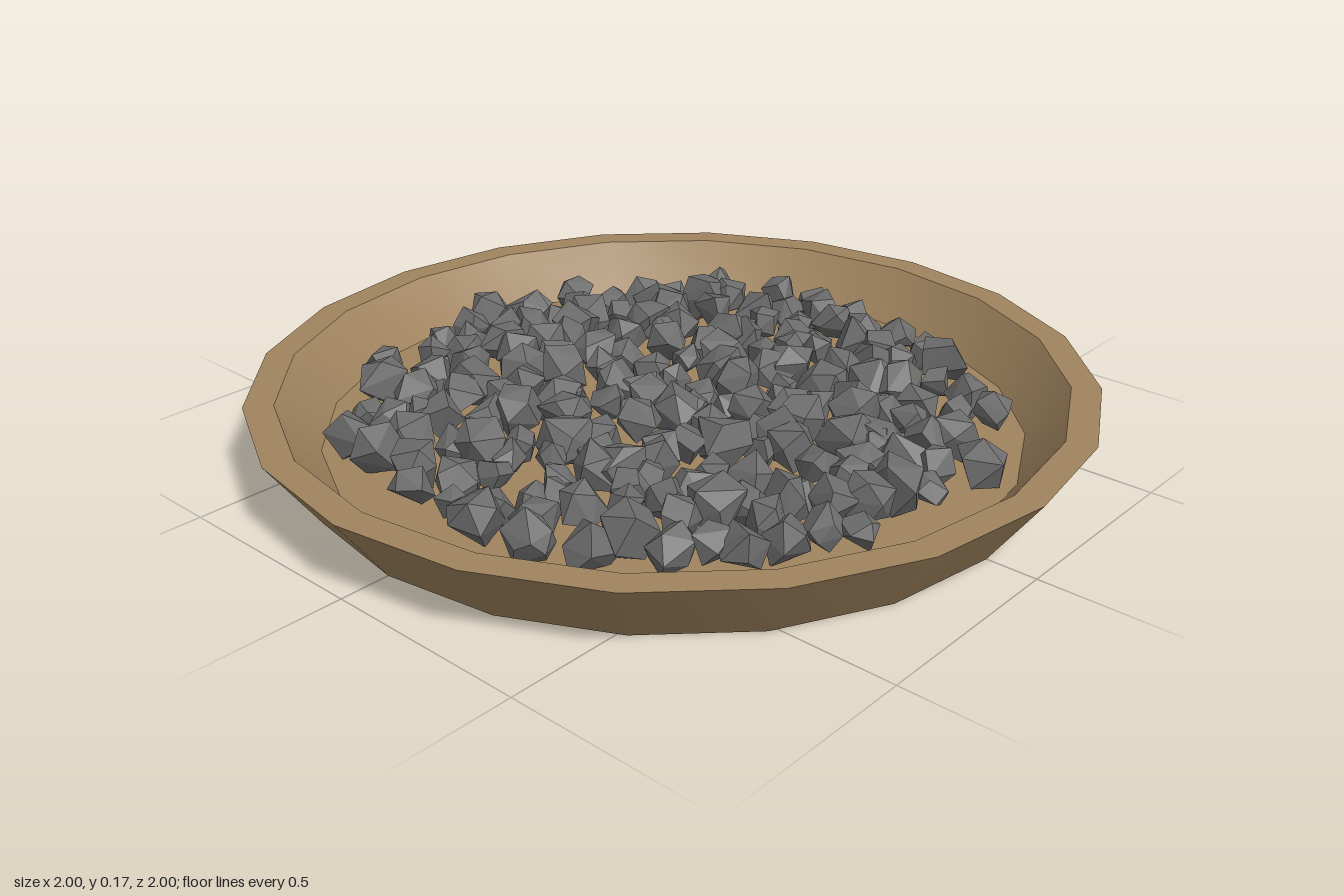
import * as THREE from 'three';
import { mergeGeometries, toCreasedNormals } from 'three/addons/utils/BufferGeometryUtils.js';
import { ConvexGeometry } from 'three/addons/geometries/ConvexGeometry.js';

const FLOOR = 0.045;
const RIM = 0.17;

// Small seeded generator, 0..1
function seeded(seed) {
  return () => {
    seed = (seed * 1664525 + 1013904223) % 4294967296;
    return seed / 4294967296;
  };
}

// Angular pebble: convex hull of jittered points spread over a sphere
function makeStone(rand, radius) {
  const count = 9 + Math.floor(rand() * 3);
  const points = [];
  for (let i = 0; i < count; i++) {
    const y = 1 - (2 * (i + 0.5)) / count;
    const ring = Math.sqrt(1 - y * y);
    const angle = i * 2.4 + (rand() - 0.5) * 0.9;
    points.push(
      new THREE.Vector3(Math.cos(angle) * ring, y, Math.sin(angle) * ring)
        .multiplyScalar(radius * (0.85 + rand() * 0.35))
    );
  }
  const stone = new ConvexGeometry(points);
  stone.rotateX(rand() * 6.28);
  stone.rotateY(rand() * 6.28);
  return stone;
}

export function createModel() {
  const model = new THREE.Group();

  // Shallow twenty-sided dish with flared wall, flat rim and raised floor
  const profile = [
    [0, 0], [0.88, 0], [1, RIM], [0.93, RIM], [0.835, FLOOR], [0, FLOOR],
  ].map(([r, y]) => new THREE.Vector2(r, y));
  const dish = new THREE.Mesh(
    toCreasedNormals(new THREE.LatheGeometry(profile, 20), 0.4),
    new THREE.MeshStandardMaterial({ color: 0xa0845f })
  );
  dish.name = 'dish';
  model.add(dish);

  // Loose gravel scattered over the floor in a jittered spiral
  const rand = seeded(17);
  const total = 195;
  const stones = [];
  for (let i = 0; i < total; i++) {
    const radius = 0.042 + 0.028 * rand();
    const reach = 0.75 * Math.sqrt((i + 0.5) / total);
    const angle = i * 2.39996;
    const stone = makeStone(rand, radius);
    stone.computeBoundingBox();
    const { min, max } = stone.boundingBox;
    // Rest slightly sunk or propped on neighbours, always below the rim
    const lift = Math.min(FLOOR - 0.01 + rand() * 0.03 - min.y, RIM - 0.005 - max.y);
    stone.translate(
      Math.cos(angle) * reach + (rand() - 0.5) * 0.07,
      lift,
      Math.sin(angle) * reach + (rand() - 0.5) * 0.07
    );
    stones.push(stone);
  }
  const gravel = new THREE.Mesh(
    mergeGeometries(stones),
    new THREE.MeshStandardMaterial({ color: 0x6c6c6c, flatShading: true })
  );
  gravel.name = 'gravel';
  model.add(gravel);

  return model;
}
